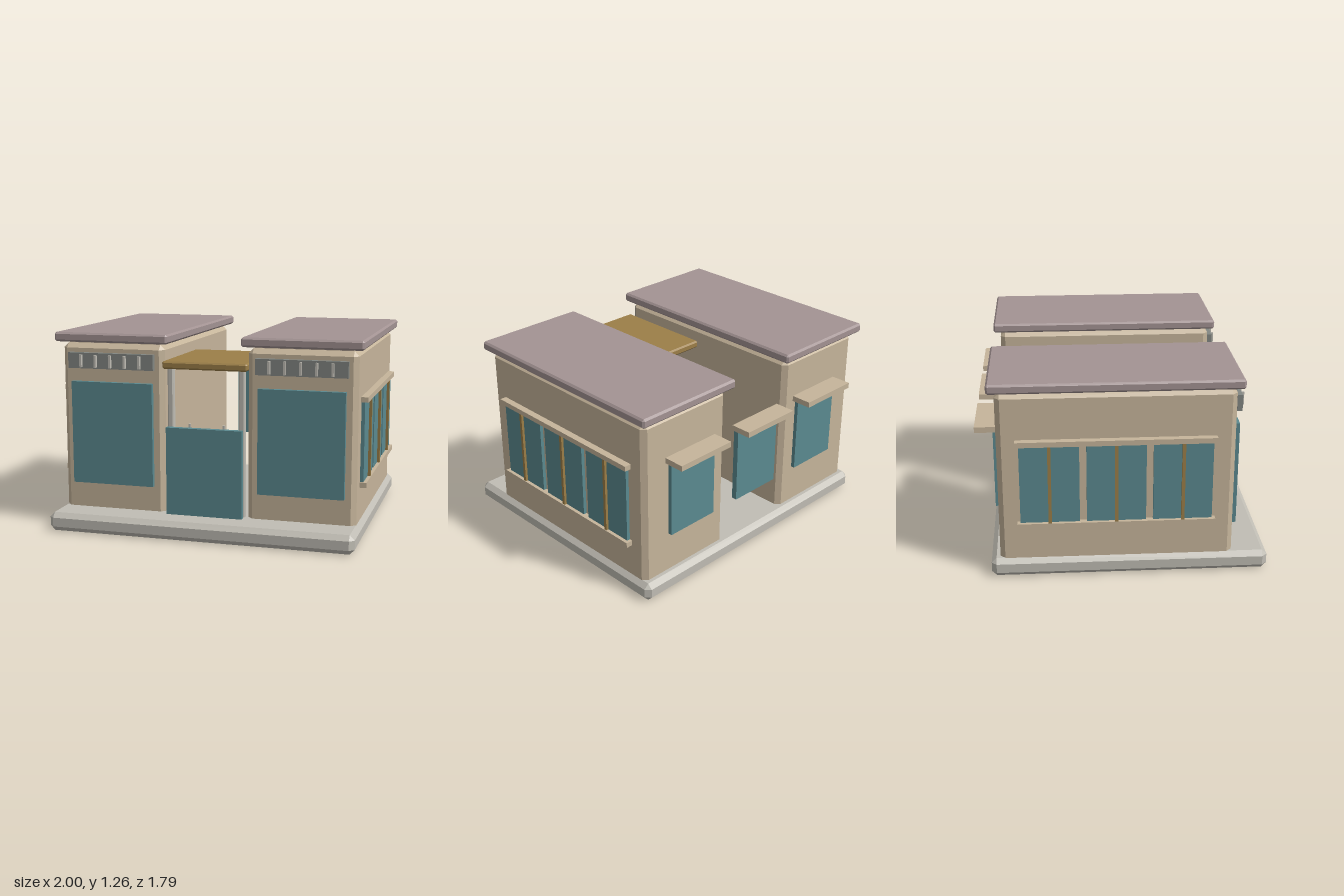
import * as THREE from 'three';
import { ConvexGeometry } from 'three/addons/geometries/ConvexGeometry.js';

const mat = (name, color) => {
  const m = new THREE.MeshStandardMaterial({ color });
  m.name = name;
  return m;
};

export function createModel() {
  const model = new THREE.Group();
  model.name = 'pavilion';

  const wall = mat('sandWall', 0xc6b59b);
  const stone = mat('paleStone', 0xc0bdb4);
  const roofing = mat('mauveRoof', 0xa39393);
  const glass = mat('tealGlass', 0x5b8a90);
  const ochre = mat('ochreTrim', 0x9c7f48);
  const grey = mat('ventGrey', 0x838783);

  // Box given by its limits; a bevel above 0 chamfers every edge
  function box(name, material, [x0, x1], [y0, y1], [z0, z1], bevel = 0, parent = model) {
    const h = [(x1 - x0) / 2, (y1 - y0) / 2, (z1 - z0) / 2];
    let geometry;
    if (bevel > 0) {
      const points = [];
      for (const sx of [-1, 1]) for (const sy of [-1, 1]) for (const sz of [-1, 1]) {
        for (let axis = 0; axis < 3; axis++) {
          const [a, b, c] = h.map((v, i) => (i === axis ? v : v - bevel));
          points.push(new THREE.Vector3(sx * a, sy * b, sz * c));
        }
      }
      geometry = new ConvexGeometry(points);
    } else {
      geometry = new THREE.BoxGeometry(h[0] * 2, h[1] * 2, h[2] * 2);
    }
    const mesh = new THREE.Mesh(geometry, material);
    mesh.name = name;
    mesh.position.set((x0 + x1) / 2, (y0 + y1) / 2, (z0 + z1) / 2);
    parent.add(mesh);
    return mesh;
  }

  // Range on the chosen side of x = 0
  const side = (s, a, b) => (s > 0 ? [a, b] : [-b, -a]);
  const around = (c, width) => [c - width / 2, c + width / 2];

  box('plinth', stone, [-0.985, 0.985], [0, 0.12], [-0.82, 0.892], 0.031);

  for (const s of [1, -1]) {
    const wing = new THREE.Group();
    wing.name = s > 0 ? 'leftWing' : 'rightWing';
    model.add(wing);

    box('wingWalls', wall, side(s, 0.272, 0.956), [0.07, 1.19], [-0.765, 0.67], 0.031, wing);
    box('wingRoof', roofing, side(s, 0.237, 0.994), [1.2, 1.26], [-0.81, 0.709], 0.012, wing);
    box('roofSeat', wall, side(s, 0.31, 0.92), [1.18, 1.205], [-0.73, 0.635], 0, wing);
    box('frontWindow', glass, side(s, 0.343, 0.887), [0.285, 0.947], [0.66, 0.7], 0, wing);

    // Vent with five slats
    box('ventMount', grey, side(s, 0.36, 0.87), [1.05, 1.1], [0.66, 0.685], 0, wing);
    box('vent', grey, side(s, 0.33, 0.902), [1.033, 1.133], [0.675, 0.708], 0, wing);
    for (let i = 0; i < 5; i++) {
      box('ventSlat', stone, around(s * (0.418 + i * 0.098), 0.014), [1.042, 1.122], [0.7, 0.73], 0, wing);
    }

    // Side window band: two rails, three panes with a mullion each
    for (const y of [0.352, 0.885]) {
      box('windowRail', wall, side(s, 0.94, 1), around(y, 0.033), [-0.653, 0.553], 0, wing);
    }
    for (let i = -1; i <= 1; i++) {
      const z = -0.05 + i * 0.403;
      box('sidePane', glass, side(s, 0.94, 0.978), [0.36, 0.875], around(z, 0.36), 0, wing);
      box('mullion', ochre, side(s, 0.95, 0.995), [0.353, 0.88], around(z, 0.02), 0, wing);
    }

    // Canopy post and thin gate support
    box('canopyPost', stone, side(s, 0.212, 0.252), [0.1, 1.06], [0.62, 0.66], 0.008);
    box('gateSupport', stone, around(s * 0.112, 0.014), [0.1, 0.697], [0.634, 0.648]);
  }

  // Rear windows with awnings; the middle one closes the open passage
  for (const x of [-0.575, 0, 0.575]) {
    box('rearWindow', glass, around(x, 0.365), [0.38, 0.885], [-0.79, -0.755]);
    box('rearAwning', wall, around(x, 0.416), [0.884, 0.92], [-0.9, -0.763]);
  }

  box('canopy', ochre, [-0.275, 0.275], [1.047, 1.095], [0.01, 0.695], 0.01);
  box('entranceGate', glass, [-0.247, 0.247], [0.115, 0.68], [0.676, 0.714]);

  return model;
}
